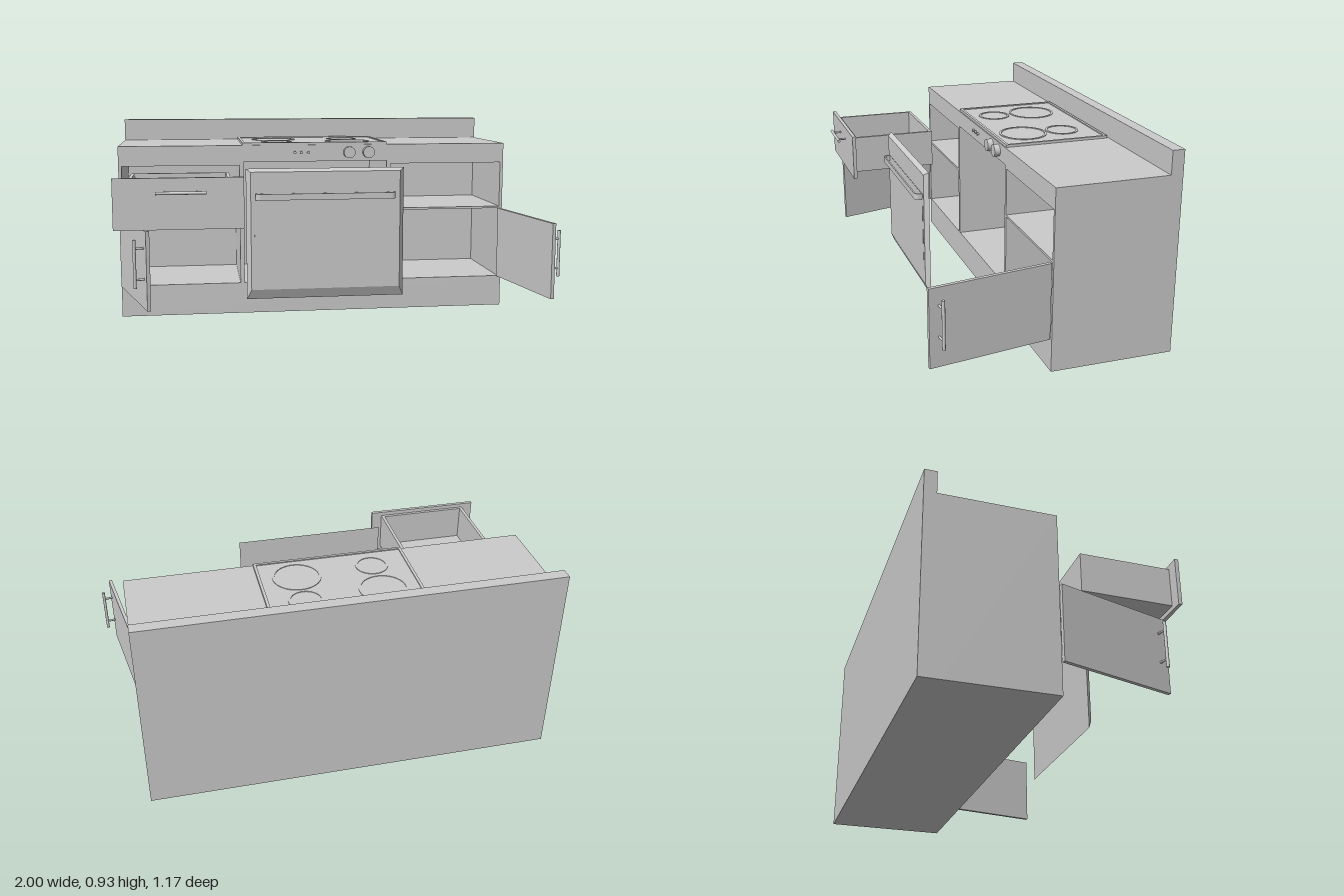
import * as THREE from 'three';

const mat = new THREE.MeshStandardMaterial({ color: 0xcccccc });

function add(parent, name, geo, x = 0, y = 0, z = 0) {
  const m = new THREE.Mesh(geo, mat);
  m.name = name;
  m.position.set(x, y, z);
  parent.add(m);
  return m;
}

// Box given by its minimum and maximum corners
function box(parent, name, x0, x1, y0, y1, z0, z1) {
  return add(parent, name, new THREE.BoxGeometry(x1 - x0, y1 - y0, z1 - z0),
    (x0 + x1) / 2, (y0 + y1) / 2, (z0 + z1) / 2);
}

function rect(Type, x0, x1, y0, y1) {
  const s = new Type();
  s.moveTo(x0, y0);
  s.lineTo(x1, y0);
  s.lineTo(x1, y1);
  s.lineTo(x0, y1);
  s.closePath();
  return s;
}

function group(parent, name) {
  const g = new THREE.Group();
  g.name = name;
  parent.add(g);
  return g;
}

// Bar handle along local x, standing off a face at z = 0
function barHandle(parent) {
  const g = group(parent, 'barHandle');
  add(g, 'handleBar', new THREE.CylinderGeometry(0.007, 0.007, 0.212, 16).rotateZ(Math.PI / 2), 0, 0, 0.041);
  for (const x of [-0.068, 0.068]) {
    add(g, 'handlePost', new THREE.CylinderGeometry(0.005, 0.005, 0.041, 12).rotateX(Math.PI / 2), x, 0, 0.0205);
  }
  return g;
}

// Hinged cabinet door, dir = +1 extends to +x when closed, -1 to -x
function cabinetDoor(parent, name, hingeX, dir, angle) {
  const g = group(parent, name);
  g.position.set(hingeX, 0, -0.01);
  g.rotation.y = angle;
  box(g, 'doorPanel', Math.min(0, dir * 0.548), Math.max(0, dir * 0.548), 0.15, 0.495, 0, 0.016);
  const h = barHandle(g);
  h.rotation.z = Math.PI / 2;
  h.position.set(dir * 0.505, 0.35, 0.016);
}

export function createModel() {
  const root = new THREE.Group();
  root.name = 'kitchenCounter';

  // Cabinet body with open compartments
  const front = rect(THREE.Shape, -1, 0.88, 0, 0.82);
  front.holes.push(
    rect(THREE.Path, -0.985, -0.43, 0.505, 0.725),
    rect(THREE.Path, -0.985, -0.43, 0.15, 0.495),
    rect(THREE.Path, -0.41, 0.29, 0.15, 0.74),
    rect(THREE.Path, 0.31, 0.865, 0.505, 0.725),
    rect(THREE.Path, 0.31, 0.865, 0.15, 0.495));
  add(root, 'cabinetBody', new THREE.ExtrudeGeometry(front, { depth: 0.475, bevelEnabled: false }), 0, 0, -0.492);
  box(root, 'backPanel', -1, 0.88, 0, 0.82, -0.583, -0.492);
  box(root, 'backsplash', -1, 0.88, 0.82, 0.926, -0.583, -0.527);

  // Cooktop: plate, raised rim and burner rings
  const cooktop = group(root, 'cooktop');
  box(cooktop, 'cooktopPlate', -0.415, 0.29, 0.815, 0.827, -0.519, -0.022);
  const rim = rect(THREE.Shape, -0.415, 0.29, 0.022, 0.519);
  rim.holes.push(rect(THREE.Path, -0.402, 0.277, 0.035, 0.506));
  add(cooktop, 'cooktopRim', new THREE.ExtrudeGeometry(rim, { depth: 0.01, bevelEnabled: false }).rotateX(-Math.PI / 2), 0, 0.822, 0);
  for (const [x, z, r] of [[-0.24, -0.345, 0.111], [-0.24, -0.147, 0.075], [0.115, -0.364, 0.078], [0.115, -0.168, 0.111]]) {
    const ring = new THREE.Shape().absarc(0, 0, r, 0, Math.PI * 2);
    ring.holes.push(new THREE.Path().absarc(0, 0, r - 0.01, 0, Math.PI * 2));
    add(cooktop, 'burnerRing', new THREE.ExtrudeGeometry(ring,
      { depth: 0.003, bevelEnabled: false, curveSegments: 32 }).rotateX(-Math.PI / 2), x, 0.827, z);
  }

  // Oven controls
  for (const x of [0.103, 0.198]) {
    add(root, 'controlKnob', new THREE.CylinderGeometry(0.028, 0.028, 0.027, 32).rotateX(Math.PI / 2), x, 0.783, -0.0035);
  }
  for (const x of [-0.162, -0.13, -0.095]) {
    add(root, 'controlButton', new THREE.CylinderGeometry(0.007, 0.007, 0.01, 16).rotateX(Math.PI / 2), x, 0.783, -0.013);
  }

  // Pulled-out drawer, open at the top
  const drawer = group(root, 'drawer');
  box(drawer, 'drawerFront', -0.985, -0.435, 0.503, 0.723, 0.521, 0.538);
  box(drawer, 'drawerBottom', -0.93, -0.485, 0.524, 0.539, 0.11, 0.521);
  box(drawer, 'drawerSide', -0.93, -0.915, 0.539, 0.704, 0.11, 0.521);
  box(drawer, 'drawerSide', -0.5, -0.485, 0.539, 0.704, 0.11, 0.521);
  box(drawer, 'drawerBack', -0.915, -0.5, 0.539, 0.704, 0.11, 0.125);
  box(drawer, 'drawerInnerFront', -0.915, -0.5, 0.539, 0.704, 0.506, 0.521);
  barHandle(drawer).position.set(-0.7, 0.663, 0.538);

  // Open cabinet doors
  cabinetDoor(root, 'rightDoor', -0.985, 1, -1.297);
  cabinetDoor(root, 'leftDoor', 0.857, -1, 1.72);

  // Oven door, detached in front: slab tapering towards its front face
  const oven = group(root, 'ovenDoor');
  const slab = new THREE.BoxGeometry(0.715, 0.59, 0.02);
  const p = slab.attributes.position;
  for (let i = 0; i < p.count; i++) {
    if (p.getZ(i) > 0) {
      p.setX(i, p.getX(i) - Math.sign(p.getX(i)) * 0.02);
      p.setY(i, p.getY(i) > 0 ? 0.281 : -0.25);
    }
  }
  slab.computeVertexNormals();
  add(oven, 'ovenDoorSlab', slab, -0.0605, 0.445, 0.352);
  box(oven, 'ovenWindow', -0.382, 0.257, 0.312, 0.63, 0.36, 0.3635);

  // Oven handle: bent flat strip
  const strip = new THREE.Shape();
  const xl = -0.377, xr = 0.254, t = 0.007, r = 0.025, z0 = 0.36, z1 = 0.396;
  strip.moveTo(xl, z0);
  strip.lineTo(xl, z1 - r);
  strip.quadraticCurveTo(xl, z1, xl + r, z1);
  strip.lineTo(xr - r, z1);
  strip.quadraticCurveTo(xr, z1, xr, z1 - r);
  strip.lineTo(xr, z0);
  strip.lineTo(xr - t, z0);
  strip.lineTo(xr - t, z1 - r);
  strip.quadraticCurveTo(xr - t, z1 - t, xr - r, z1 - t);
  strip.lineTo(xl + r, z1 - t);
  strip.quadraticCurveTo(xl + t, z1 - t, xl + t, z1 - r);
  strip.lineTo(xl + t, z0);
  strip.closePath();
  add(oven, 'ovenHandle', new THREE.ExtrudeGeometry(strip,
    { depth: 0.028, bevelEnabled: false, curveSegments: 8 }).rotateX(Math.PI / 2), 0, 0.631, 0);

  return root;
}
